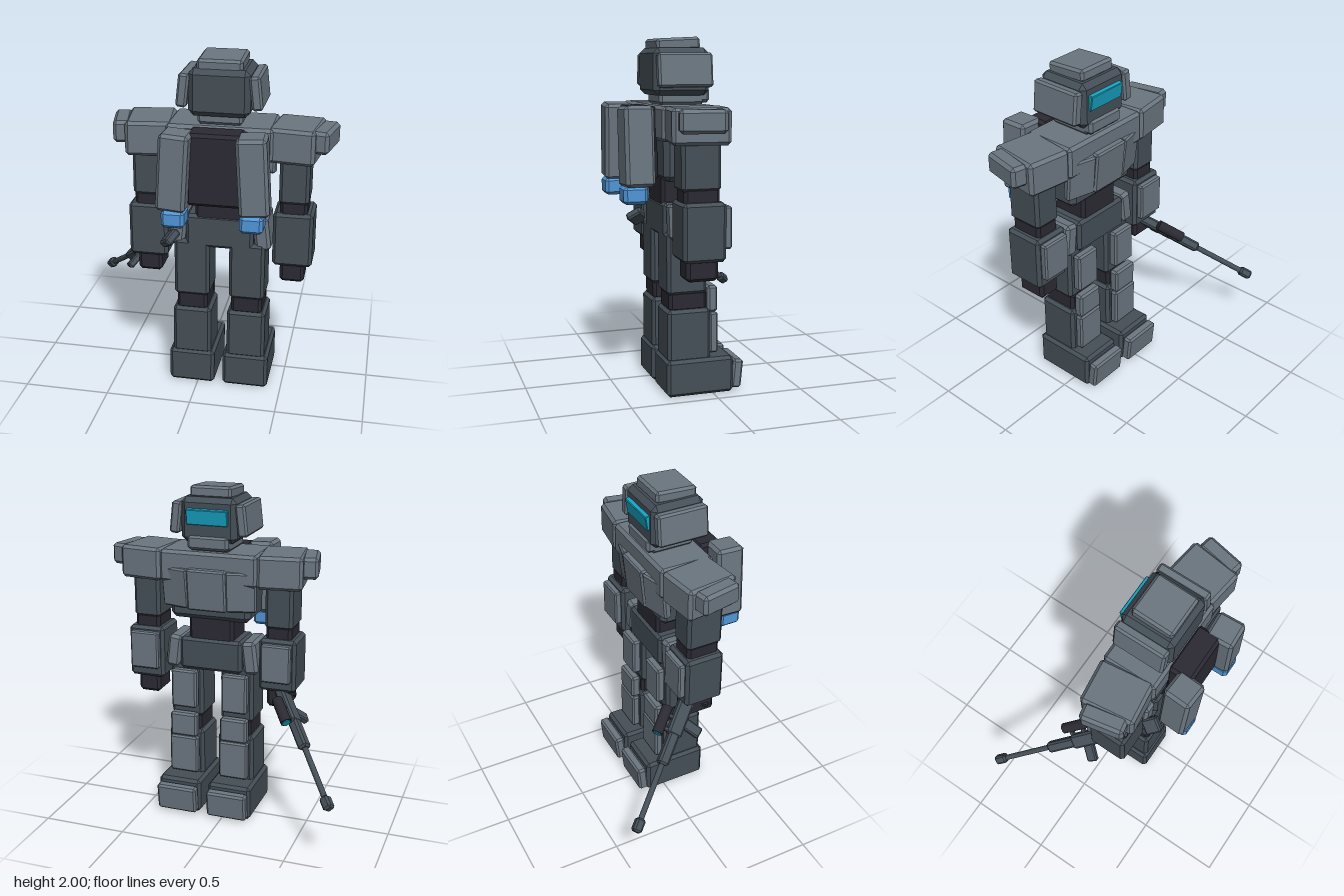
import * as THREE from 'three';
import { ConvexGeometry } from 'three/addons/geometries/ConvexGeometry.js';

const mat = (name, color) => {
  const m = new THREE.MeshStandardMaterial({ color });
  m.name = name;
  return m;
};

// Box with flat chamfered edges
function chamferBox(w, h, d, b = 0.018) {
  const half = [w / 2, h / 2, d / 2];
  b = Math.min(b, half[0] * 0.4, half[1] * 0.4, half[2] * 0.4);
  const points = [];
  for (const sx of [-1, 1]) for (const sy of [-1, 1]) for (const sz of [-1, 1]) {
    for (let face = 0; face < 3; face++) {
      const [x, y, z] = half.map((v, i) => (i === face ? v : v - b));
      points.push(new THREE.Vector3(x * sx, y * sy, z * sz));
    }
  }
  return new ConvexGeometry(points);
}

export function createModel() {
  const light = mat('light armour', 0x6b7680);
  const dark = mat('dark armour', 0x454f57);
  const black = mat('joint black', 0x2b2a33);
  const teal = mat('visor teal', 0x17a5c4);
  const blue = mat('thruster blue', 0x5096d8);

  const root = new THREE.Group();
  root.name = 'robot';
  const body = new THREE.Group();
  body.name = 'body';
  body.position.x = 0.125;
  root.add(body);

  // size [w,h,d], centre [x,y,z], rotation [x,y,z]
  const block = (name, material, size, pos, rot = [0, 0, 0], parent = body) => {
    const mesh = new THREE.Mesh(chamferBox(...size), material);
    mesh.name = name;
    mesh.position.set(...pos);
    mesh.rotation.set(rot[0], rot[1], rot[2], 'YXZ');
    parent.add(mesh);
    return mesh;
  };
  const pair = (name, material, size, [x, y, z], [rx, ry, rz] = [0, 0, 0]) => {
    block(name + 'Left', material, size, [x, y, z], [rx, ry, rz]);
    block(name + 'Right', material, size, [-x, y, z], [rx, -ry, -rz]);
  };

  // Head
  block('head', dark, [0.34, 0.26, 0.32, 0.03], [0, 1.807, 0.142]);
  block('crown', light, [0.25, 0.07, 0.25], [0, 1.957, 0.15], [0.05, 0, 0]);
  block('visor', teal, [0.25, 0.09, 0.03, 0.004], [0, 1.828, -0.022], [-0.15, 0, 0]);
  block('chin', light, [0.25, 0.085, 0.08], [0, 1.678, 0.01]);
  block('neck', light, [0.25, 0.08, 0.26], [0, 1.665, 0.13]);
  pair('cheekPanel', light, [0.06, 0.185, 0.31], [0.2, 1.815, 0.14], [0, 0, 0.11]);

  // Torso
  block('collar', light, [0.6, 0.19, 0.33], [0, 1.53, 0.13]);
  block('chest', dark, [0.5, 0.32, 0.27, 0.03], [0, 1.37, 0.135]);
  block('chestPlateCentre', light, [0.24, 0.25, 0.05], [0, 1.405, -0.035], [-0.1, 0, 0]);
  pair('chestPlate', light, [0.18, 0.24, 0.05], [0.2, 1.405, -0.01], [-0.1, -0.25, 0]);
  block('waist', black, [0.28, 0.2, 0.23], [0, 1.15, 0.14]);

  // Backpack and thrusters
  block('backpack', black, [0.31, 0.41, 0.15], [0, 1.415, 0.355]);
  pair('thruster', light, [0.165, 0.435, 0.165], [0.215, 1.41, 0.42], [0, 0.05, 0.06]);
  pair('thrusterNozzle', blue, [0.13, 0.1, 0.135], [0.215, 1.15, 0.437]);

  // Hips
  block('pelvis', dark, [0.39, 0.2, 0.25], [0, 0.99, 0.135]);
  pair('hipSkirt', light, [0.09, 0.2, 0.23], [0.24, 0.99, 0.135], [0, 0, 0.12]);

  // Arms
  pair('shoulder', light, [0.265, 0.195, 0.315], [0.41, 1.53, 0.137], [0, -0.13, 0]);
  pair('shoulderCap', light, [0.1, 0.125, 0.25], [0.567, 1.56, 0.16], [0, -0.2, 0]);
  pair('upperArm', dark, [0.167, 0.27, 0.22], [0.415, 1.32, 0.14]);
  pair('elbow', black, [0.155, 0.12, 0.2], [0.415, 1.15, 0.135]);
  pair('forearm', dark, [0.225, 0.32, 0.24], [0.415, 0.97, 0.13]);
  pair('forearmPlate', light, [0.18, 0.23, 0.045], [0.415, 0.99, -0.005]);
  pair('hand', black, [0.14, 0.14, 0.18], [0.415, 0.77, 0.13]);

  // Legs
  pair('thigh', dark, [0.205, 0.35, 0.23], [0.16, 0.755, 0.145]);
  pair('thighPlate', light, [0.16, 0.24, 0.055], [0.16, 0.77, 0.0]);
  pair('kneeJoint', black, [0.18, 0.12, 0.22], [0.16, 0.54, 0.137]);
  pair('kneePlate', light, [0.17, 0.15, 0.06], [0.16, 0.54, -0.01]);
  pair('shin', dark, [0.225, 0.3, 0.25], [0.16, 0.345, 0.135]);
  pair('shinPlate', light, [0.18, 0.235, 0.05], [0.16, 0.345, -0.015]);
  pair('foot', dark, [0.27, 0.21, 0.39], [0.16, 0.107, 0.075]);
  pair('toeCap', light, [0.25, 0.165, 0.06], [0.16, 0.1, -0.147], [-0.1, 0, 0]);

  // Rifle: local +z runs to the muzzle, which sits at the group origin
  const rifle = new THREE.Group();
  rifle.name = 'rifle';
  rifle.position.set(-0.73, 0.39, -0.465);
  rifle.lookAt(-0.73 - 0.61, 0.39 - 0.59, -0.465 - 0.775);
  rifle.rotateZ(0.93);
  root.add(rifle);
  const gunBox = (name, m, size, pos, rot) => block(name, m, size, pos, rot, rifle);
  const gunTube = (name, m, r, length, y, z, sides = 10) => {
    const geo = new THREE.CylinderGeometry(r, r, length, sides).rotateX(Math.PI / 2);
    const mesh = new THREE.Mesh(geo, m);
    mesh.name = name;
    mesh.position.set(0, y, z);
    rifle.add(mesh);
  };
  gunBox('muzzleBrake', dark, [0.055, 0.055, 0.08, 0.012], [0, 0, 0]);
  gunTube('barrel', dark, 0.017, 0.42, 0, -0.22);
  gunBox('handguard', dark, [0.06, 0.065, 0.2, 0.012], [0, 0, -0.47]);
  gunBox('receiver', dark, [0.06, 0.09, 0.3, 0.012], [0, 0, -0.7]);
  gunBox('magazine', dark, [0.04, 0.12, 0.065, 0.01], [0, -0.09, -0.64], [-0.15, 0, 0]);
  gunBox('grip', black, [0.04, 0.1, 0.05, 0.01], [0, -0.08, -0.81], [0.3, 0, 0]);
  gunBox('stockArm', dark, [0.04, 0.05, 0.25, 0.01], [0, 0, -0.95]);
  gunBox('stockPad', dark, [0.05, 0.1, 0.1, 0.012], [0, -0.015, -1.1]);
  gunTube('scope', black, 0.033, 0.17, 0.095, -0.61);
  gunTube('scopeLens', teal, 0.025, 0.006, 0.095, -0.523);
  for (const z of [-0.57, -0.65]) gunBox('scopeMount', dark, [0.03, 0.06, 0.025, 0.005], [0, 0.055, z]);

  return root;
}
